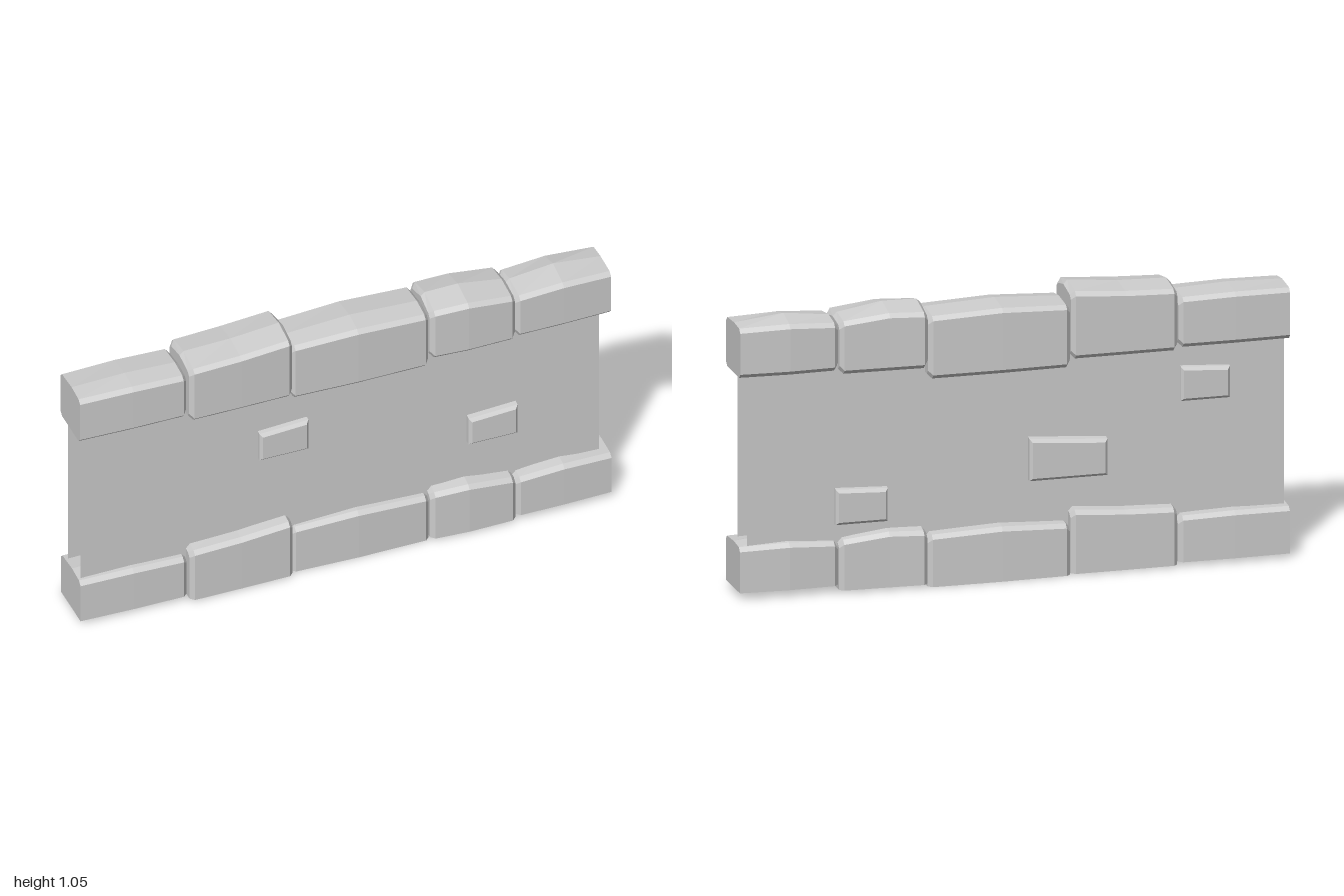
import * as THREE from 'three';

const material = new THREE.MeshStandardMaterial({ color: 0xcccccc, flatShading: true, side: THREE.DoubleSide });
const BEVEL = 0.015;

// Stones from left to right. Stations: [x, shoulder height, ridge height, front z, back z]
const stones = [
  { top: 0.80, foot: 0.015, flatStart: true, stations: [
    [-1, 0.985, 0.992, 0.08, -0.105], [-0.8, 0.987, 0.998, 0.085, -0.11], [-0.595, 0.982, 0.99, 0.085, -0.108]] },
  { top: 0.79, foot: 0.005, stations: [
    [-0.592, 1.015, 1.03, 0.105, -0.108], [-0.4, 1.022, 1.035, 0.105, -0.11], [-0.202, 1.036, 1.052, 0.103, -0.11]] },
  { top: 0.76, foot: 0, stations: [
    [-0.2, 0.988, 0.997, 0.08, -0.108], [0.05, 0.998, 1.01, 0.087, -0.114], [0.32, 0.988, 0.998, 0.085, -0.112]] },
  { top: 0.80, foot: 0.01, stations: [
    [0.32, 1.005, 1.028, 0.1, -0.11], [0.46, 1.01, 1.03, 0.108, -0.105], [0.64, 0.992, 1.003, 0.105, -0.1]] },
  { top: 0.81, foot: 0.025, flatEnd: true, stations: [
    [0.64, 0.985, 0.996, 0.105, -0.085], [0.82, 0.995, 1.015, 0.105, -0.09], [1, 0.99, 0.995, 0.1, -0.08]] },
];

// Gabled, bevelled cross-section in (z, y), from the front foot over the ridge to the back foot
function section([, shoulder, ridge, front, back], bottom, inset, closed) {
  const f = front - inset, k = back + inset, s = shoulder - inset, r = ridge - inset;
  const b = BEVEL, low = bottom + (closed ? inset : 0);
  const roof = [[f, s - b], [f - b, s], [0, r], [k + b, s], [k, s - b]];
  return closed
    ? [[f - b, low], [f, low + b], ...roof, [k, low + b], [k + b, low]]
    : [[f, low], ...roof, [k, low]];
}

// Joins the cross-sections of one stone; the lower stones are hollow underneath
function stoneGeometry({ stations, flatStart, flatEnd }, bottom, closed, drop) {
  const rings = [];
  const add = (st, x, inset) => rings.push(
    section([x, st[1] - drop, st[2] - drop, st[3], st[4]], bottom, inset, closed).map(([z, y]) => [x, y, z]));
  stations.forEach((st, i) => {
    if (i === 0 && !flatStart) { add(st, st[0], BEVEL); add(st, st[0] + BEVEL, 0); }
    else if (i === stations.length - 1 && !flatEnd) { add(st, st[0] - BEVEL, 0); add(st, st[0], BEVEL); }
    else add(st, st[0], 0);
  });
  const n = rings[0].length, index = [];
  for (let i = 0; i < rings.length - 1; i++) {
    for (let j = 0; j < (closed ? n : n - 1); j++) {
      const a = i * n + j, b = i * n + (j + 1) % n;
      index.push(a, a + n, b + n, a, b + n, b);
    }
  }
  const last = (rings.length - 1) * n;
  for (let j = 1; j < n - 1; j++) {
    index.push(0, j, j + 1, last, last + j + 1, last + j);
  }
  const geometry = new THREE.BufferGeometry();
  geometry.setAttribute('position', new THREE.Float32BufferAttribute(rings.flat(2), 3));
  geometry.setIndex(index);
  const flat = geometry.toNonIndexed();
  flat.computeVertexNormals();
  return flat;
}

// Protruding brick with a sloping top, bevelled on its outer face
function brickGeometry(x0, x1, y0, yLeft, yRight, inner, outer) {
  const b = 0.01, depth = Math.abs(outer - inner);
  const shape = new THREE.Shape([[x0 + b, y0 + b], [x1 - b, y0 + b], [x1 - b, yRight - b], [x0 + b, yLeft - b]]
    .map(([x, y]) => new THREE.Vector2(x, y)));
  const geometry = new THREE.ExtrudeGeometry(shape, {
    depth: depth - 2 * b, bevelEnabled: true, bevelSize: b, bevelThickness: b, bevelSegments: 1 });
  geometry.translate(0, 0, Math.min(inner, outer) + b);
  // The top rises slightly towards the wall
  const p = geometry.attributes.position, mid = (y0 + yLeft) / 2;
  for (let i = 0; i < p.count; i++) {
    if (p.getY(i) > mid) p.setY(i, p.getY(i) + 0.012 * (Math.abs(outer - p.getZ(i)) / depth - 0.3));
  }
  geometry.computeVertexNormals();
  return geometry;
}

export function createModel() {
  const group = new THREE.Group();
  const add = (name, geometry) => {
    const mesh = new THREE.Mesh(geometry, material);
    mesh.name = name;
    group.add(mesh);
    return mesh;
  };

  // Two thin wall faces, open at the ends
  for (const side of [1, -1]) {
    const panel = add(side > 0 ? 'frontWall' : 'backWall', new THREE.PlaneGeometry(1.96, 0.76));
    panel.position.set(-0.01, 0.5, side * 0.06);
    if (side < 0) panel.rotation.y = Math.PI;
  }

  // Coping stones on top, matching base stones below
  stones.forEach((stone, i) => {
    add('copingStone' + (i + 1), stoneGeometry(stone, stone.top, true, 0));
    add('baseStone' + (i + 1), stoneGeometry(stone, stone.foot, false, 0.8)).position.z = 0.004;
  });

  // Bricks standing out of the wall: x0, x1, bottom, top at x0, top at x1, inner z, outer z
  [
    ['frontBrick1', -0.32, -0.135, 0.525, 0.643, 0.653, 0.025, 0.085],
    ['frontBrick2', 0.47, 0.655, 0.37, 0.485, 0.495, 0.028, 0.088],
    ['backBrick1', 0.46, 0.65, 0.245, 0.368, 0.376, -0.027, -0.083],
    ['backBrick2', -0.34, -0.055, 0.35, 0.485, 0.505, -0.033, -0.09],
    ['backBrick3', -0.79, -0.61, 0.595, 0.712, 0.722, -0.023, -0.08],
  ].forEach(([name, ...size]) => add(name, brickGeometry(...size)));

  return group;
}
